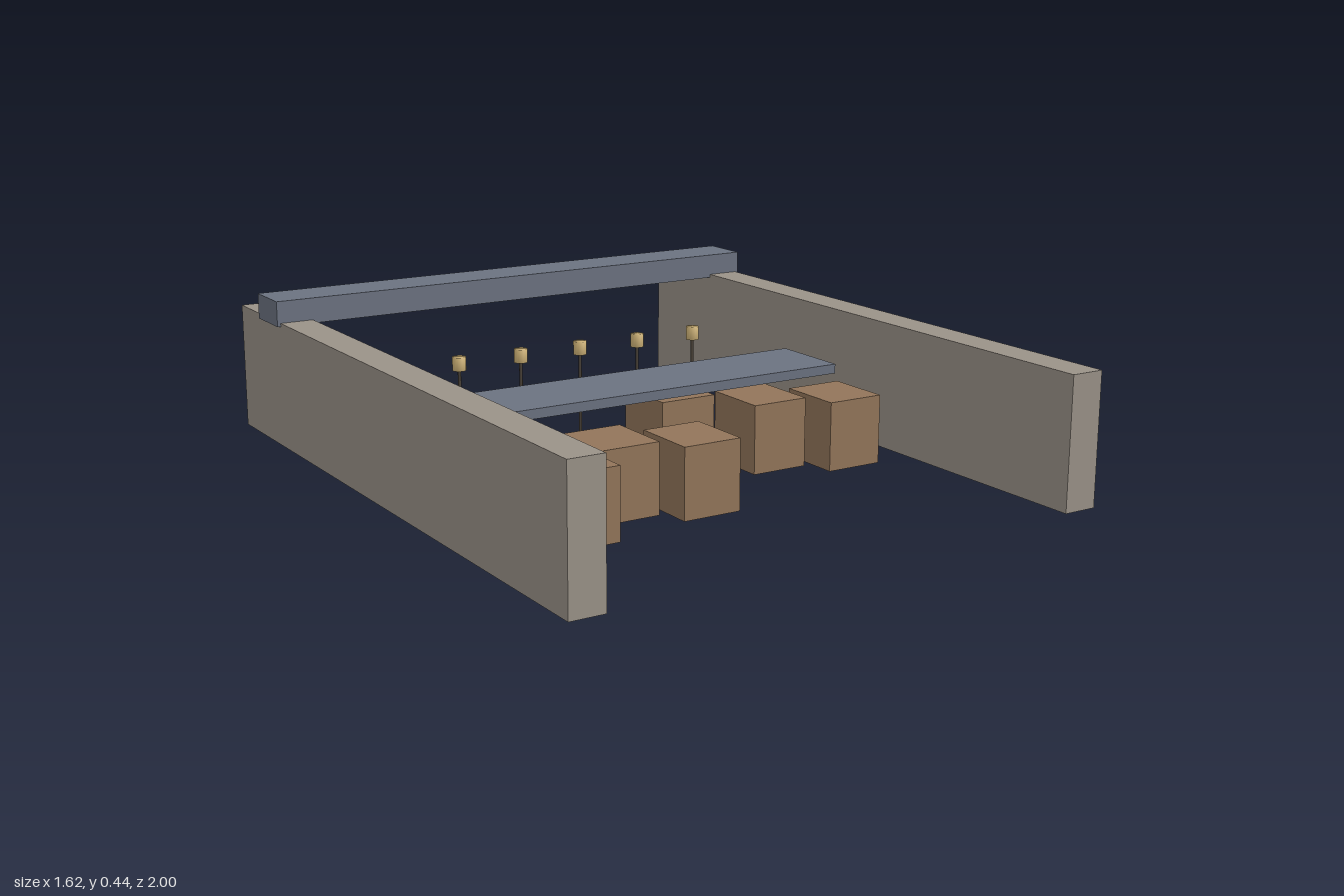
import * as THREE from 'three';
import { mergeVertices } from 'three/addons/utils/BufferGeometryUtils.js';

const material = (color) => new THREE.MeshStandardMaterial({ color });

export function createModel() {
  const model = new THREE.Group();
  const stone = material(0x9a9288);
  const slate = material(0x6b7280);
  const wood = material(0x92755a);
  const brass = material(0xd0b478);
  const iron = material(0x4a4238);

  const add = (name, geometry, mat, x, y, z) => {
    const mesh = new THREE.Mesh(geometry, mat);
    mesh.name = name;
    mesh.position.set(x, y, z);
    model.add(mesh);
  };
  // Box resting with its underside at the given height
  const addBox = (name, mat, [w, h, d], x, bottom, z) =>
    add(name, new THREE.BoxGeometry(w, h, d), mat, x, bottom + h / 2, z);

  // Side walls
  addBox('leftWall', stone, [0.1, 0.375, 2], 0.75, 0, 0);
  addBox('rightWall', stone, [0.1, 0.375, 2], -0.75, 0, 0);

  // Rear beam across the walls, and the floating shelf
  addBox('rearBeam', slate, [1.62, 0.075, 0.15], 0, 0.365, -0.755);
  addBox('shelf', slate, [1.22, 0.028, 0.25], 0, 0.212, -0.005);

  // Staggered row of crates
  [0.485, 0.35, 0.43, 0.01, 0.175, 0.26].forEach((z, i) => {
    addBox(`crate${i + 1}`, wood, [0.174, 0.2, 0.2], -0.5 + i * 0.2, 0, z);
  });

  // Lamps on thin posts; lamp heads have softly shaded rims
  const head = new THREE.CylinderGeometry(0.02, 0.02, 0.04, 16);
  head.deleteAttribute('normal');
  head.deleteAttribute('uv');
  const softHead = mergeVertices(head);
  softHead.computeVertexNormals();
  const post = new THREE.CylinderGeometry(0.005, 0.005, 0.26, 10);
  for (let i = 0; i < 5; i++) {
    const x = -0.4 + i * 0.2;
    add(`lampPost${i + 1}`, post, iron, x, 0.13, -0.33);
    add(`lampHead${i + 1}`, softHead, brass, x, 0.276, -0.33);
  }

  return model;
}
